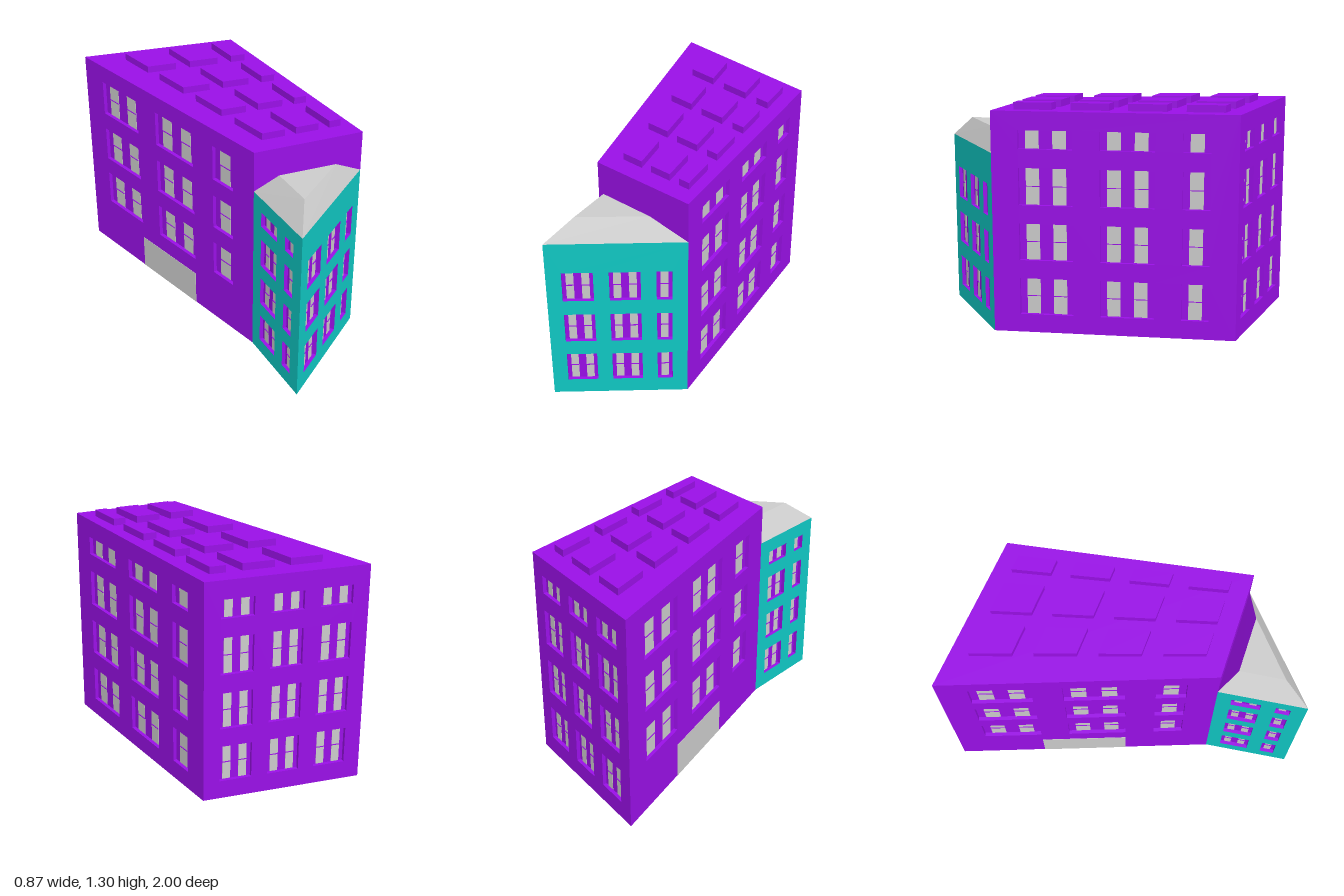
import * as THREE from 'three';

const DS = THREE.DoubleSide;
const purple = new THREE.MeshStandardMaterial({ color: 0x9910e6, side: DS, flatShading: true });
const teal = new THREE.MeshStandardMaterial({ color: 0x10c8c4, side: DS, flatShading: true });
const grey = new THREE.MeshStandardMaterial({ color: 0xcccccc, side: DS, flatShading: true });

// Plan corners (x, z)
const A = [-0.435, -1], B = [0.43, -0.725], C = [0.378, 0.638], D = [-0.23, 0.505], E = [-0.275, 1];
const MAIN_H = 1.26, WING_H = 1.025, WING_TOP = 1.145, DEPTH = 0.022;

// Openings on a modular grid: two modules open, one solid, with a solid margin at each end
function spans(n) {
  const out = [];
  for (let a = 1; a < n - 1; a += 3) out.push([a, Math.min(a + 2, n - 1)]);
  return out;
}

function add(parent, geometry, material, name, x = 0, y = 0, z = 0) {
  const mesh = new THREE.Mesh(geometry, material);
  mesh.name = name;
  mesh.position.set(x, y, z);
  parent.add(mesh);
  return mesh;
}

// Surface from polygons given as lists of corners, anticlockwise from outside
function polygons(faces) {
  const pos = [];
  for (const f of faces)
    for (let i = 1; i < f.length - 1; i++) pos.push(...f[0], ...f[i], ...f[i + 1]);
  const g = new THREE.BufferGeometry();
  g.setAttribute('position', new THREE.Float32BufferAttribute(pos, 3));
  g.computeVertexNormals();
  return g;
}

// Recessed window: reveals, back panel, and one pane for each module
function addWindow(wall, x0, x1, y0, y1, columns, rows) {
  const win = new THREE.Group();
  win.name = 'window';
  wall.add(win);
  const d = -DEPTH;
  add(win, polygons([
    [[x0, y0, 0], [x0, y0, d], [x0, y1, d], [x0, y1, 0]],
    [[x1, y0, d], [x1, y0, 0], [x1, y1, 0], [x1, y1, d]],
    [[x0, y0, 0], [x1, y0, 0], [x1, y0, d], [x0, y0, d]],
    [[x0, y1, d], [x1, y1, d], [x1, y1, 0], [x0, y1, 0]],
    [[x0, y0, d], [x1, y0, d], [x1, y1, d], [x0, y1, d]],
  ]), purple, 'windowRecess');
  const w = (x1 - x0) / columns, h = y1 - y0;
  for (let i = 0; i < columns; i++) {
    const x = x0 + (i + 0.5) * w;
    add(win, new THREE.BoxGeometry(w / 2, h - 0.002, 0.004), grey, 'pane', x, y0 + h / 2, d);
    if (rows > 1) add(win, new THREE.BoxGeometry(w / 2, 0.004, 0.012), purple, 'glazingBar', x, y0 + h / 2, d);
  }
}

// Wall from P (left) to Q (right) as seen from outside
function addWall(parent, name, P, Q, height, material, nx, ny, base = 0) {
  const dx = Q[0] - P[0], dz = Q[1] - P[1], len = Math.hypot(dx, dz);
  const wall = new THREE.Group();
  wall.name = name;
  wall.position.set(P[0], 0, P[1]);
  wall.rotation.y = Math.atan2(-dz, dx);
  parent.add(wall);
  const rect = (x0, x1, y0, y1) => [[x0, y0], [x1, y0], [x1, y1], [x0, y1]].map(p => new THREE.Vector2(...p));
  const shape = new THREE.Shape(rect(0, len, 0, height));
  const mx = len / nx, my = (height - base) / ny;
  for (const [a, b] of spans(nx)) {
    for (const [c, e] of spans(ny)) {
      const box = [a * mx, b * mx, base + c * my, base + e * my];
      shape.holes.push(new THREE.Path(rect(...box).reverse()));
      addWindow(wall, ...box, b - a, e - c);
    }
  }
  add(wall, new THREE.ShapeGeometry(shape), material, name + 'Face');
  return { wall, len };
}

export function createModel() {
  const model = new THREE.Group();
  model.name = 'building';
  const at = ([x, z], y) => [x, y, z];

  // Main block
  const main = new THREE.Group();
  main.name = 'mainBlock';
  model.add(main);
  addWall(main, 'leftWall', C, B, MAIN_H, purple, 9, 12);
  addWall(main, 'backWall', B, A, MAIN_H, purple, 10, 12);
  const side = addWall(main, 'rightWall', A, D, MAIN_H, purple, 9, 10, 0.21);
  addWall(main, 'frontWall', D, C, MAIN_H, purple, 1, 1);
  add(main, polygons([[at(A, MAIN_H), at(D, MAIN_H), at(C, MAIN_H), at(B, MAIN_H)]]), purple, 'flatRoof');

  // Wide door at street level
  add(side.wall, new THREE.BoxGeometry(side.len / 3, 0.21, 0.004), grey, 'door', side.len / 2, 0.105, 0);

  // Raised roof boxes follow the skewed plan
  const mix = (p, q, t) => [p[0] + (q[0] - p[0]) * t, p[1] + (q[1] - p[1]) * t];
  const plan = (s, t) => mix(mix(A, B, s), mix(D, C, s), t);
  for (const [a, b] of spans(9)) {
    for (const [c, e] of spans(13)) {
      const s0 = (a + 1) / 10, s1 = (b + 1) / 10, t0 = c / 13, t1 = e / 13;
      const ring = [plan(s0, t0), plan(s0, t1), plan(s1, t1), plan(s1, t0)];
      const lo = MAIN_H, hi = 1.3;
      const faces = [ring.map(p => at(p, hi))];
      ring.forEach((p, i) => {
        const q = ring[(i + 1) % 4];
        faces.push([at(p, lo), at(q, lo), at(q, hi), at(p, hi)]);
      });
      add(main, polygons(faces), purple, 'roofBox');
    }
  }

  // Triangular front wing
  const wing = new THREE.Group();
  wing.name = 'frontWing';
  model.add(wing);
  addWall(wing, 'wingFrontWall', E, C, WING_H, teal, 9, 11);
  addWall(wing, 'wingSideWall', D, E, WING_H, teal, 6, 12);

  // Hipped wing roof with a flat top; the slope against the main block is purple
  const base = [D, E, C];
  const top = [[-0.14, 0.605], [-0.165, 0.86], [0.175, 0.675]];
  const slope = (i, j) => [at(base[i], WING_H), at(base[j], WING_H), at(top[j], WING_TOP), at(top[i], WING_TOP)];
  add(wing, polygons([slope(0, 1), slope(1, 2), top.map(p => at(p, WING_TOP))]), grey, 'wingRoof');
  add(wing, polygons([slope(2, 0)]), purple, 'wingRoofBackSlope');
  return model;
}
